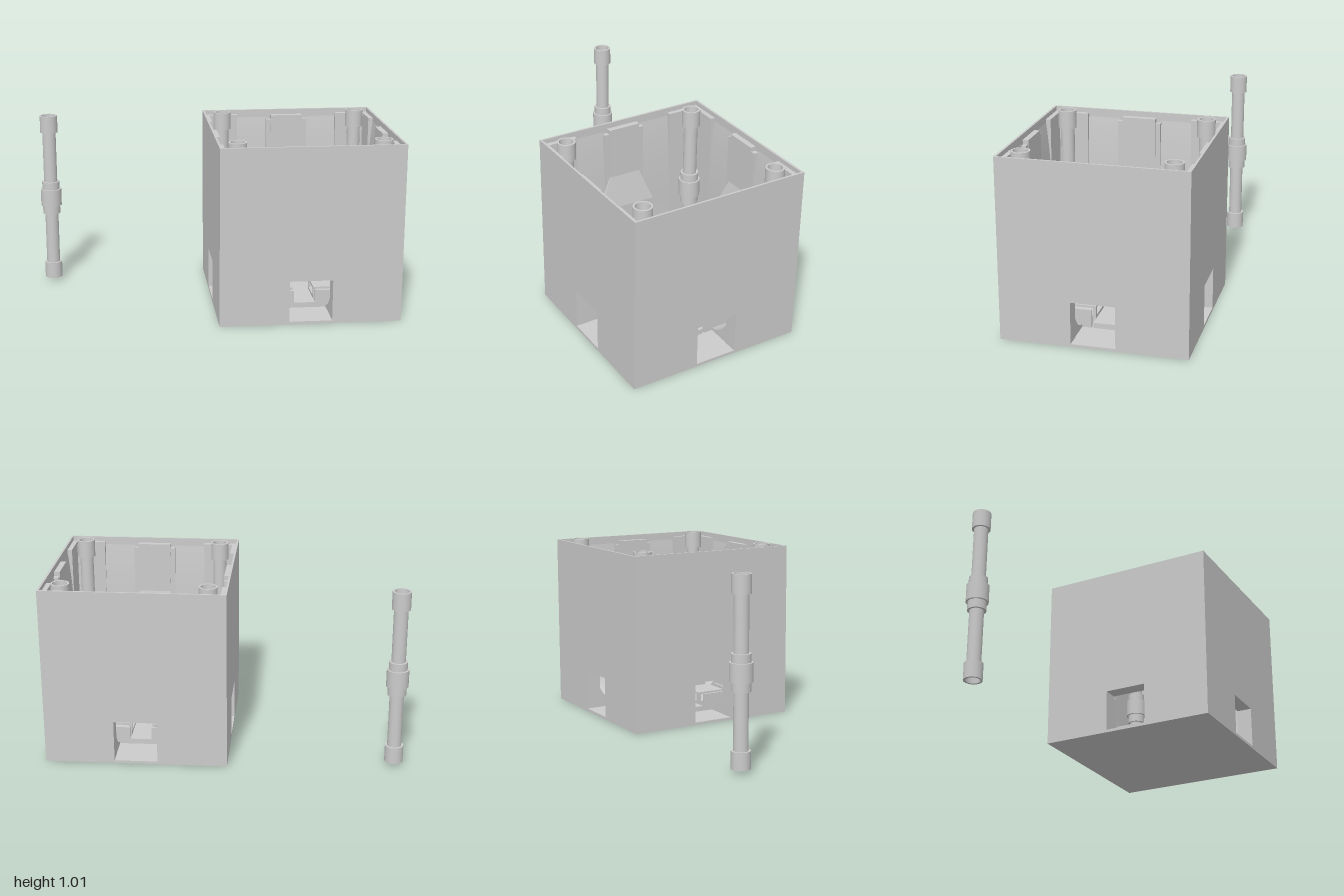
import * as THREE from 'three';

const grey = new THREE.MeshStandardMaterial({ color: 0xcccccc, side: THREE.DoubleSide });
const CX = 0.49, HALF = 0.507, H = 1.006;
const DOOR_W = 0.12, DOOR_H = 0.25;

function add(parent, name, geometry, x = 0, y = 0, z = 0) {
  const m = new THREE.Mesh(geometry, grey);
  m.name = name;
  m.position.set(x, y, z);
  parent.add(m);
  return m;
}

// Box given by its corner limits
function block(parent, name, x0, x1, y0, y1, z0, z1) {
  return add(parent, name, new THREE.BoxGeometry(x1 - x0, y1 - y0, z1 - z0),
    (x0 + x1) / 2, (y0 + y1) / 2, (z0 + z1) / 2);
}

const poly = (pts) => new THREE.Shape(pts.map(([x, y]) => new THREE.Vector2(x, y)));

// Flat plate with a doorway notch in the bottom edge
function doorPlate(x0, x1, y0, y1, depth) {
  return new THREE.ExtrudeGeometry(poly([
    [x0, y0], [-DOOR_W, y0], [-DOOR_W, DOOR_H], [DOOR_W, DOOR_H], [DOOR_W, y0],
    [x1, y0], [x1, y1], [x0, y1],
  ]), { depth, bevelEnabled: false });
}

// Hollow pipe with end collars and a stepped middle collar
function pipe(parent, name, x, z) {
  const steps = [[0.02, 0.115, 0.051], [0.115, 0.42, 0.039], [0.42, 0.47, 0.051],
    [0.47, 0.57, 0.061], [0.57, 0.615, 0.051], [0.615, 0.915, 0.039], [0.915, 1.015, 0.051]];
  const g = new THREE.Group();
  g.name = name;
  g.position.set(x, 0, z);
  const rings = steps.flatMap(([a, b, r]) => [[r, a], [r, b]]);
  const outline = [[0.04, 0.02], ...rings, [0.04, 1.015], [0.036, 0.93], [0.036, 0.1], [0.04, 0.02]];
  // One lathe per segment keeps the steps crisp and the sides round
  for (let i = 0; i < outline.length - 1; i++) {
    const pts = [outline[i], outline[i + 1]].map(([r, y]) => new THREE.Vector2(r, y));
    add(g, 'pipeSurface', new THREE.LatheGeometry(pts, 40));
  }
  parent.add(g);
}

// Recessed wall panel that leans inwards and sweeps into the floor
function panelGeometry(width) {
  const s = new THREE.Shape();
  s.moveTo(0.5, 0.01);
  s.lineTo(0.5, 0.96);
  s.lineTo(0.495, 0.96);
  s.quadraticCurveTo(0.467, 0.75, 0.465, 0.4);
  s.bezierCurveTo(0.46, 0.2, 0.43, 0.06, 0.29, 0.03);
  s.lineTo(0.29, 0.01);
  return new THREE.ExtrudeGeometry(s, { depth: width, bevelEnabled: false, curveSegments: 12 })
    .rotateY(-Math.PI / 2);
}

// One wall with its inner relief, facing +z
function wall(angle) {
  const g = new THREE.Group();
  g.name = 'wall';
  g.rotation.y = angle;
  add(g, 'outerWall', doorPlate(-HALF, HALF - 0.012, 0.008, H, 0.012), 0, 0, HALF - 0.012);
  add(g, 'centreRib', doorPlate(-DOOR_W - 0.001, DOOR_W + 0.001, 0.01, 0.55, 0.035), 0, 0, 0.463);
  block(g, 'centreRibTop', -0.095, 0.095, 0.5, 0.975, 0.463, 0.496);
  add(g, 'doorSurround', doorPlate(-0.165, 0.165, 0.01, 0.5, 0.075), 0, 0, 0.422);

  // Shoulder narrowing and leaning back to the rib above
  const shoulder = new THREE.ExtrudeGeometry(
    poly([[-0.165, 0.5], [0.165, 0.5], [0.095, 0.68], [-0.095, 0.68]]),
    { depth: 0.075, bevelEnabled: false });
  const p = shoulder.attributes.position;
  for (let i = 0; i < p.count; i++) {
    if (p.getY(i) > 0.6 && p.getZ(i) < 0.01) p.setZ(i, 0.041);
  }
  shoulder.computeVertexNormals();
  add(g, 'ribShoulder', shoulder, 0, 0, 0.422);

  for (const s of [-1, 1]) {
    add(g, 'sweptPanel', panelGeometry(0.18), s > 0 ? 0.302 : -0.122, 0, 0);
    add(g, 'upperPanel', new THREE.BoxGeometry(0.03, 0.42, 0.028), s * 0.108, 0.74, 0.481);
    block(g, 'cornerPad', s > 0 ? 0.3 : -0.495, s > 0 ? 0.495 : -0.3, 0.01, 0.98, 0.468, 0.496);
  }
  return g;
}

// Slotted table on the floor: base, raised plate on posts and two outer bars
function floorTable(parent, sx, sz) {
  const g = new THREE.Group();
  g.name = 'floorTable';
  const part = (name, x0, x1, y0, y1, z0, z1) => add(g, name,
    new THREE.BoxGeometry(x1 - x0, y1 - y0, z1 - z0),
    sx * (x0 + x1) / 2, (y0 + y1) / 2, sz * (z0 + z1) / 2);
  part('tableBase', 0.06, 0.235, 0.015, 0.063, 0.06, 0.235);
  part('tablePlate', 0.06, 0.235, 0.106, 0.117, 0.06, 0.235);
  for (const x of [0.06, 0.215]) {
    for (const z of [0.06, 0.215]) part('tablePost', x, x + 0.02, 0.06, 0.11, z, z + 0.02);
  }
  part('outerBar', 0.275, 0.29, 0.015, 0.117, 0.07, 0.26);
  part('outerBar', 0.06, 0.26, 0.015, 0.117, 0.275, 0.29);
  if (sx > 0 && sz < 0) part('smallPeg', 0.15, 0.19, 0.115, 0.121, 0.1, 0.14);
  parent.add(g);
}

export function createModel() {
  const model = new THREE.Group();
  model.name = 'boxAndPipe';

  const box = new THREE.Group();
  box.name = 'openBox';
  box.position.x = CX;
  model.add(box);

  // Floor with a low cross-shaped channel bed
  block(box, 'floor', -HALF, HALF, 0, 0.016, -HALF, HALF);
  block(box, 'channelBed', -0.06, 0.06, 0.01, 0.046, -0.29, 0.29);
  block(box, 'channelBed', -0.29, 0.29, 0.01, 0.046, -0.06, 0.06);

  for (let i = 0; i < 4; i++) box.add(wall(i * Math.PI / 2));
  for (const sx of [-1, 1]) {
    for (const sz of [-1, 1]) {
      floorTable(box, sx, sz);
      pipe(box, 'cornerPipe', sx * 0.4, sz * 0.4);
    }
  }

  pipe(model, 'loosePipe', -0.939, -0.4);
  return model;
}
